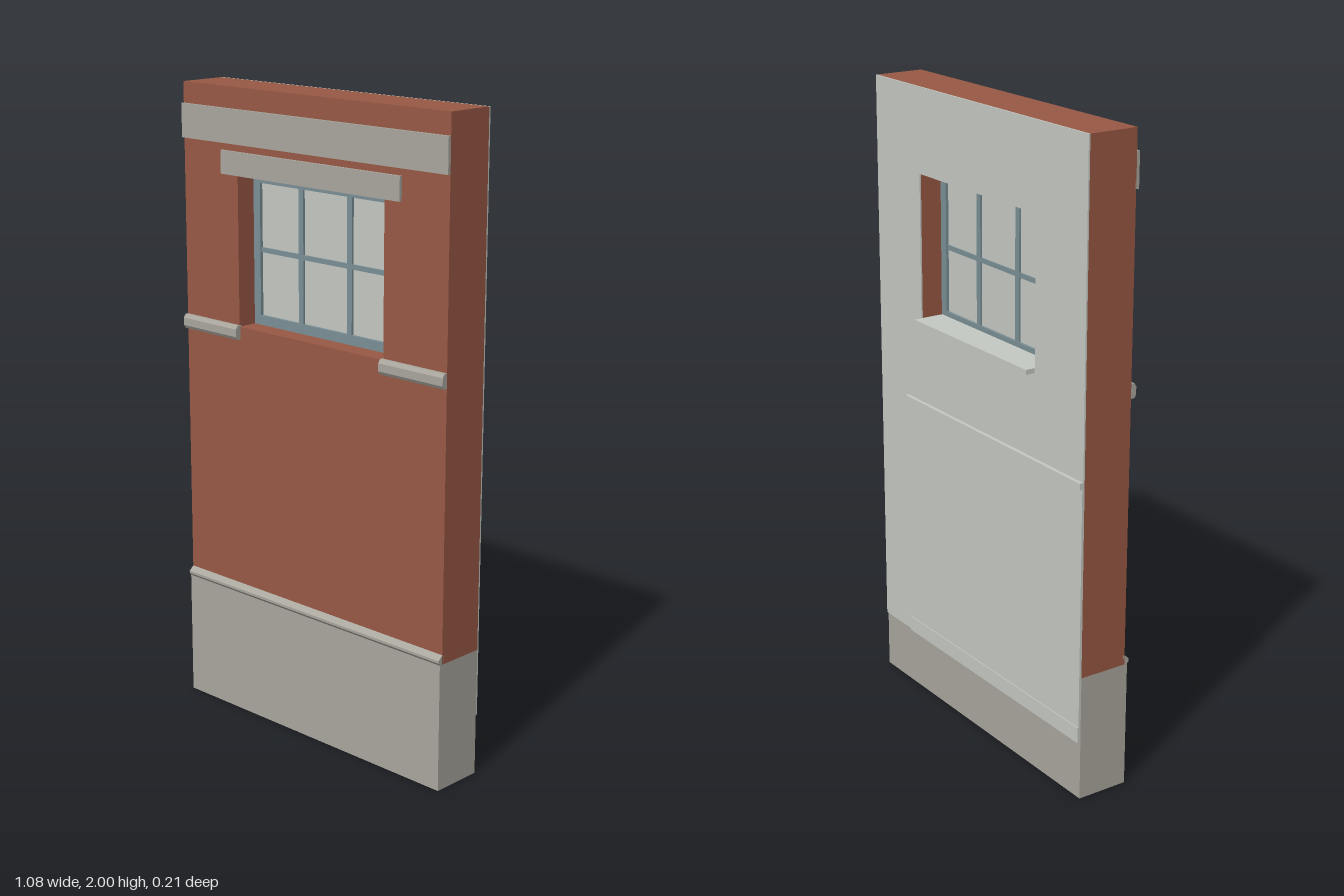
import * as THREE from 'three';

const paint = (name, color) => {
  const m = new THREE.MeshStandardMaterial({ color });
  m.name = name;
  return m;
};

export function createModel() {
  const brick = paint('brick red', 0x995945);
  const stone = paint('warm grey stone', 0xaaa79e);
  const plaster = paint('pale plaster', 0xc6cac3);
  const frame = paint('blue grey frame', 0x7b9096);

  const group = new THREE.Group();
  const W = 0.54; // half width of the wall
  const open = { x0: -0.303, x1: 0.298, y0: 1.27, y1: 1.737 };

  const add = (name, geometry, material, parent = group) => {
    const mesh = new THREE.Mesh(geometry, material);
    mesh.name = name;
    parent.add(mesh);
    return mesh;
  };
  // box given by its limits
  const box = (name, material, [x0, x1], [y0, y1], [z0, z1], parent) => {
    const g = new THREE.BoxGeometry(x1 - x0, y1 - y0, z1 - z0);
    g.translate((x0 + x1) / 2, (y0 + y1) / 2, (z0 + z1) / 2);
    return add(name, g, material, parent);
  };
  // rectangular slab with a rectangular hole
  const rect = (P, { x0, x1, y0, y1 }) => {
    const p = new P();
    p.moveTo(x0, y0);
    p.lineTo(x1, y0);
    p.lineTo(x1, y1);
    p.lineTo(x0, y1);
    p.closePath();
    return p;
  };
  const slab = (name, material, outer, hole, z0, z1) => {
    const s = rect(THREE.Shape, outer);
    s.holes.push(rect(THREE.Path, hole));
    const g = new THREE.ExtrudeGeometry(s, { depth: z1 - z0, bevelEnabled: false });
    return add(name, g.translate(0, 0, z0), material);
  };
  // (z, y) moulding profile run along x
  const moulding = (name, material, profile, x0, x1) => {
    const s = new THREE.Shape(profile.map(([z, y]) => new THREE.Vector2(z, y)));
    const g = new THREE.ExtrudeGeometry(s, { depth: x1 - x0, bevelEnabled: false });
    return add(name, g.rotateY(-Math.PI / 2).translate(x1, 0, 0), material);
  };

  // wall body, inner plaster skin and plinth
  slab('brickWall', brick, { x0: -W, x1: W, y0: 0.4, y1: 2 }, open, -0.073, 0.085);
  slab('plasterSkin', plaster, { x0: -W, x1: W, y0: 0.19, y1: 2 }, open, -0.078, -0.073);
  box('plinth', stone, [-W, W], [0, 0.4], [-0.073, 0.095]);
  moulding('plinthCap', stone,
    [[0.08, 0.4], [0.095, 0.4], [0.101, 0.408], [0.101, 0.416], [0.085, 0.43], [0.08, 0.43]], -W, W);

  // stonework on the front
  box('upperBand', stone, [-W, W], [1.83, 1.935], [0.08, 0.095]);
  box('lintel', stone, [-0.368, 0.363], [1.736, 1.808], [0.08, 0.094]);
  const sill = [[0.08, 1.23], [0.097, 1.23], [0.103, 1.24], [0.103, 1.264], [0.096, 1.275], [0.08, 1.275]];
  moulding('sillBandRight', stone, sill, -W, -0.3);
  moulding('sillBandLeft', stone, sill, 0.295, W);

  // window
  const inner = { x0: -0.275, x1: 0.27, y0: 1.3, y1: 1.71 };
  slab('windowFrame', frame, open, inner, -0.003, 0.02);
  const bars = new THREE.Group();
  bars.name = 'glazingBars';
  group.add(bars);
  for (const x of [-0.103, 0.098])
    box('uprightBar', frame, [x - 0.01, x + 0.01], [inner.y0, inner.y1], [0, 0.017], bars);
  box('crossBar', frame, [inner.x0, inner.x1], [1.497, 1.512], [0.001, 0.016], bars);
  box('windowPane', plaster, [inner.x0, inner.x1], [inner.y0, inner.y1], [0.006, 0.01]);
  box('innerSill', plaster, [-0.298, 0.296], [1.27, 1.285], [-0.105, -0.003]);

  // wainscot on the back
  box('wainscotPanel', plaster, [-W, 0.38], [0.19, 1.0], [-0.081, -0.077]);
  box('skirtingBoard', plaster, [-W, 0.38], [0.19, 0.24], [-0.084, -0.077]);
  box('wainscotRail', plaster, [-W, 0.38], [0.993, 1.013], [-0.09, -0.077]);

  // centre the depth
  const b = new THREE.Box3().setFromObject(group);
  const dz = (b.min.z + b.max.z) / 2;
  group.children.forEach((c) => { c.position.z -= dz; });
  return group;
}
